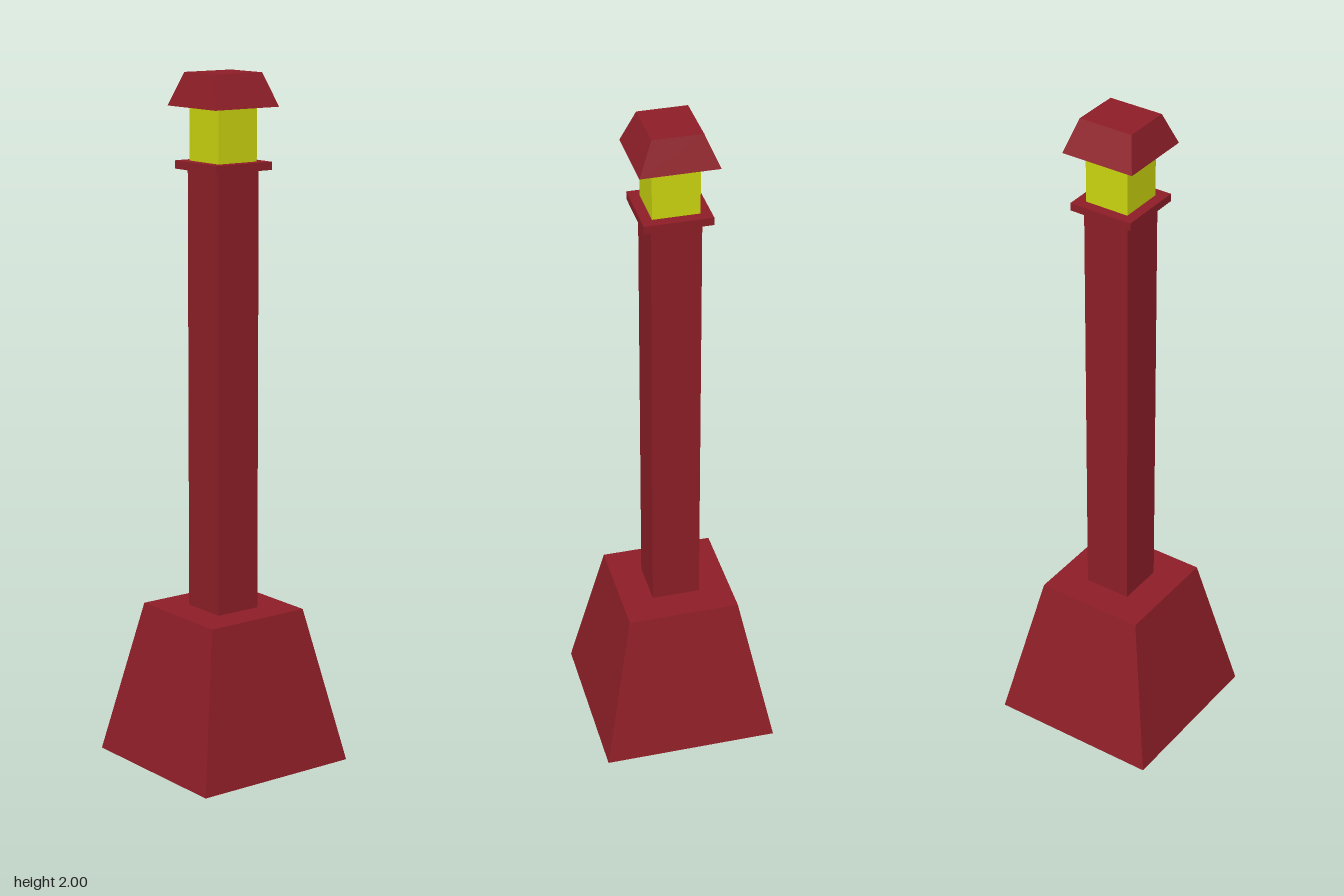
import * as THREE from 'three';

const red = new THREE.MeshStandardMaterial({ color: 0x8e1e27, flatShading: true });
const yellow = new THREE.MeshStandardMaterial({ color: 0xccd60f, flatShading: true });

// Box from y0 to y1 whose top may be narrower than its bottom (half widths)
function block(name, material, y0, y1, bottom, topX = bottom, topZ = topX) {
  const geometry = new THREE.BoxGeometry(2 * bottom, y1 - y0, 2 * bottom);
  const p = geometry.attributes.position;
  for (let i = 0; i < p.count; i++) {
    if (p.getY(i) > 0) {
      p.setX(i, Math.sign(p.getX(i)) * topX);
      p.setZ(i, Math.sign(p.getZ(i)) * topZ);
    }
  }
  geometry.computeVertexNormals();
  const mesh = new THREE.Mesh(geometry, material);
  mesh.name = name;
  mesh.position.y = (y0 + y1) / 2;
  return mesh;
}

export function createModel() {
  const group = new THREE.Group();
  group.name = 'lampPost';
  group.add(
    block('base', red, 0, 0.455, 0.258, 0.165),
    block('column', red, 0.455, 1.73, 0.071),
    block('collar', red, 1.73, 1.753, 0.097),
    block('lamp', yellow, 1.753, 1.906, 0.067),
    // The roof's flat top is slightly wider in x than in z
    block('roof', red, 1.906, 2, 0.111, 0.082, 0.071),
  );
  return group;
}
